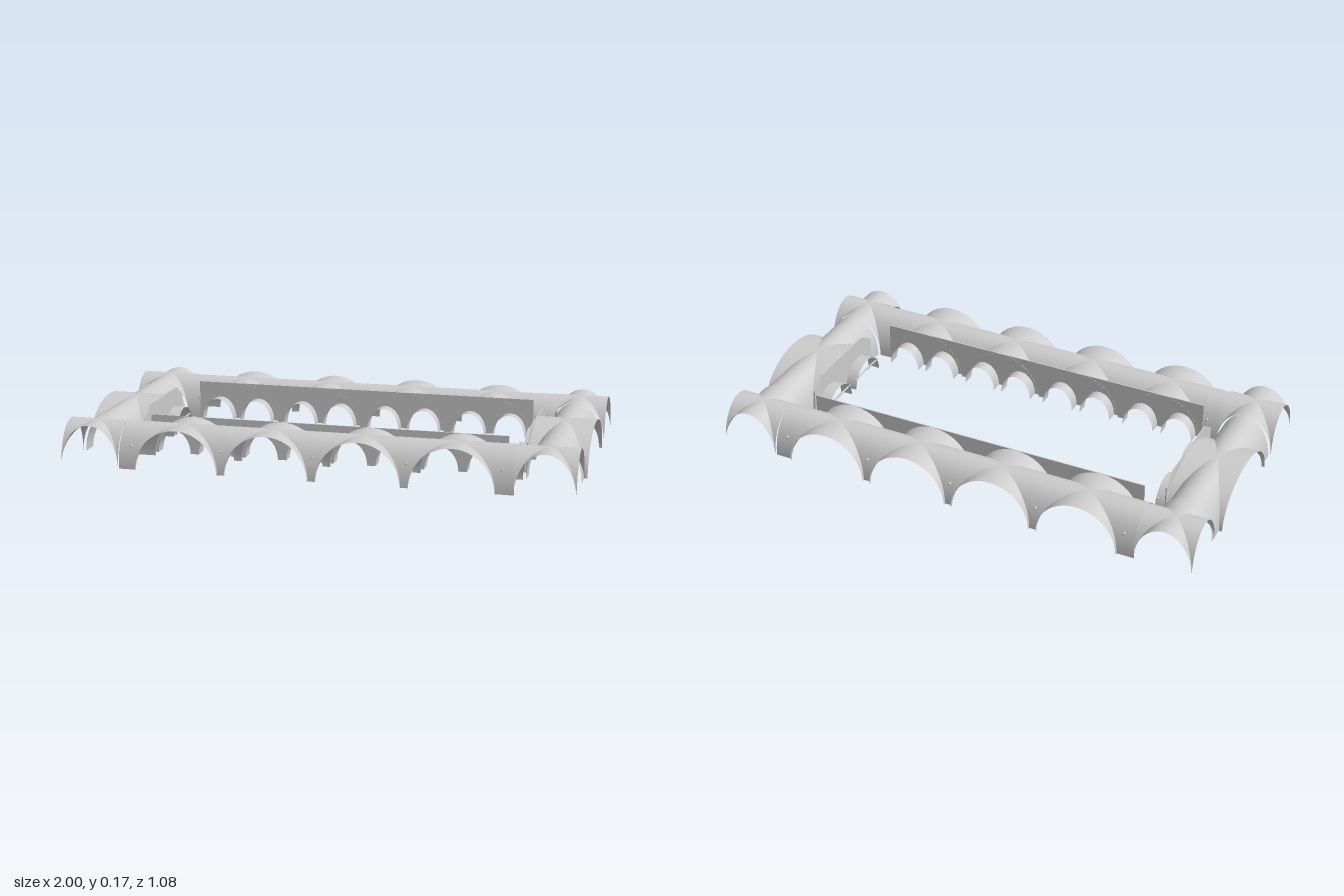
import * as THREE from 'three';

const material = new THREE.MeshStandardMaterial({ color: 0xcccccc, side: THREE.DoubleSide });

// Smooth surface from a rule (u, v) -> [x, y, z]
function surface(name, rule, nu, nv) {
  const geo = new THREE.PlaneGeometry(1, 1, nu, nv);
  const pos = geo.attributes.position, uv = geo.attributes.uv;
  for (let i = 0; i < pos.count; i++) pos.setXYZ(i, ...rule(uv.getX(i), uv.getY(i)));
  geo.computeVertexNormals();
  const mesh = new THREE.Mesh(geo, material);
  mesh.name = name;
  return mesh;
}

// Half-elliptical barrel along x between x0 and x1
function barrel(name, x0, x1, half, rise, foot = 0) {
  return surface(name, (u, v) => {
    const t = u * Math.PI;
    return [x0 + (x1 - x0) * v, foot + rise * Math.sin(t), half * Math.cos(t)];
  }, 32, 1);
}

// Triangular web of a cross vault: reaches from the diagonals out to +x
function web(reach, half, rise, lip) {
  return surface('vaultWeb', (u, v) => {
    const t = u * Math.PI;
    const inner = reach * Math.abs(Math.cos(t));
    return [inner + (reach + lip - inner) * v, rise * Math.sin(t), half * Math.cos(t)];
  }, 32, 4);
}

// Cross vault; lips extend the +x, -z, -x, +z arches
function crossVault(name, a, b, rise, lips) {
  const group = new THREE.Group();
  group.name = name;
  lips.forEach((lip, i) => {
    const m = i % 2 ? web(b, a, rise, lip) : web(a, b, rise, lip);
    m.rotation.y = i * Math.PI / 2;
    group.add(m);
  });
  return group;
}

// Arcade wall in the xy plane facing +z, with a short barrel behind each arch
function arcade(name, o) {
  const group = new THREE.Group();
  group.name = name;
  const s = new THREE.Shape();
  s.moveTo(-o.length, o.foot);
  for (const c of o.centres) {
    s.lineTo(c - o.half, o.foot);
    s.absellipse(c, o.foot, o.half, o.rise, Math.PI, 0, true);
  }
  s.lineTo(o.length, o.foot);
  s.lineTo(o.length, o.top - o.cut);
  s.lineTo(o.length - o.cut * 1.5, o.top);
  s.lineTo(-o.length + o.cut * 1.5, o.top);
  s.lineTo(-o.length, o.top - o.cut);
  const wall = new THREE.Mesh(
    new THREE.ExtrudeGeometry(s, { depth: 0.005, bevelEnabled: false, curveSegments: 24 }), material);
  wall.name = 'arcadeWall';
  group.add(wall);
  for (const c of o.centres) {
    const arch = barrel('arcadeArch', 0, o.depth, o.half, o.rise, o.foot);
    arch.rotation.y = Math.PI / 2;
    arch.scale.x = -1;
    arch.position.x = c;
    group.add(arch);
  }
  return group;
}

// Thin tie rod along z
function tieRod(x, y, z, length) {
  const rod = new THREE.Mesh(new THREE.CylinderGeometry(0.004, 0.004, length, 8), material);
  rod.name = 'tieRod';
  rod.rotation.x = Math.PI / 2;
  rod.position.set(x, y, z);
  return rod;
}

// Long walk along x, outer side towards +z
function longWalk() {
  const walk = new THREE.Group();
  walk.name = 'longWalk';
  const z = 0.42, half = 0.11, rise = 0.165, a = 0.163, pitch = 0.356;
  const bays = [-1.5, -0.5, 0.5, 1.5].map(k => k * pitch);
  const put = m => { m.position.z = z; walk.add(m); return m; };
  for (const c of bays) put(crossVault('walkVault', a, half, rise, [0, 0.01, 0, 0.122 - half])).position.x = c;
  // Transverse bands and tie rods at the piers
  const edges = [-0.767, ...bays.flatMap(c => [c - a, c + a]), 0.767];
  for (let i = 0; i < edges.length; i += 2) put(barrel('pierBand', edges[i], edges[i + 1], half, rise));
  for (let k = -2; k <= 2; k++) walk.add(tieRod(k * pitch * 1.01, 0.09, z, 0.21));
  const wall = arcade('longArcade', {
    length: 0.71, top: 0.165, cut: 0, foot: 0.014, half: 0.066, rise: 0.09, depth: 0.055,
    centres: bays.flatMap(c => [c - 0.083, c + 0.083])
  });
  wall.rotation.y = Math.PI;
  wall.position.z = 0.306;
  walk.add(wall);
  return walk;
}

// Short walk along z, outer side towards +x
function shortWalk() {
  const walk = new THREE.Group();
  walk.name = 'shortWalk';
  const x = 0.882, half = 0.105, rise = 0.165, b = 0.235;
  const vault = crossVault('sideVault', half, b, rise, [0.013, 0, 0.008, 0]);
  vault.position.x = x;
  walk.add(vault);
  for (const s of [-1, 1]) {
    const band = barrel('pierBand', b, 0.31, half, rise);
    band.rotation.y = -s * Math.PI / 2;
    band.position.x = x;
    walk.add(band, tieRod(0.725, 0.046, s * 0.115, 0.19));
  }
  const wall = arcade('sideArcade', {
    length: 0.23, top: 0.168, cut: 0.045, foot: 0.002, half: 0.096, rise: 0.091, depth: 0.052,
    centres: [-0.115, 0.115]
  });
  wall.rotation.y = -Math.PI / 2;
  wall.position.x = 0.77;
  walk.add(wall);
  return walk;
}

export function createModel() {
  const model = new THREE.Group();
  model.name = 'cloister';
  for (const turn of [0, Math.PI]) {
    for (const walk of [longWalk(), shortWalk()]) {
      walk.rotation.y = turn;
      model.add(walk);
    }
  }
  // Corner vaults
  for (const sx of [-1, 1]) for (const sz of [-1, 1]) {
    const corner = crossVault('cornerVault', 0.116, 0.116, 0.165, [0, 0, 0, 0]);
    corner.position.set(sx * 0.882, 0, sz * 0.426);
    model.add(corner);
  }
  return model;
}
